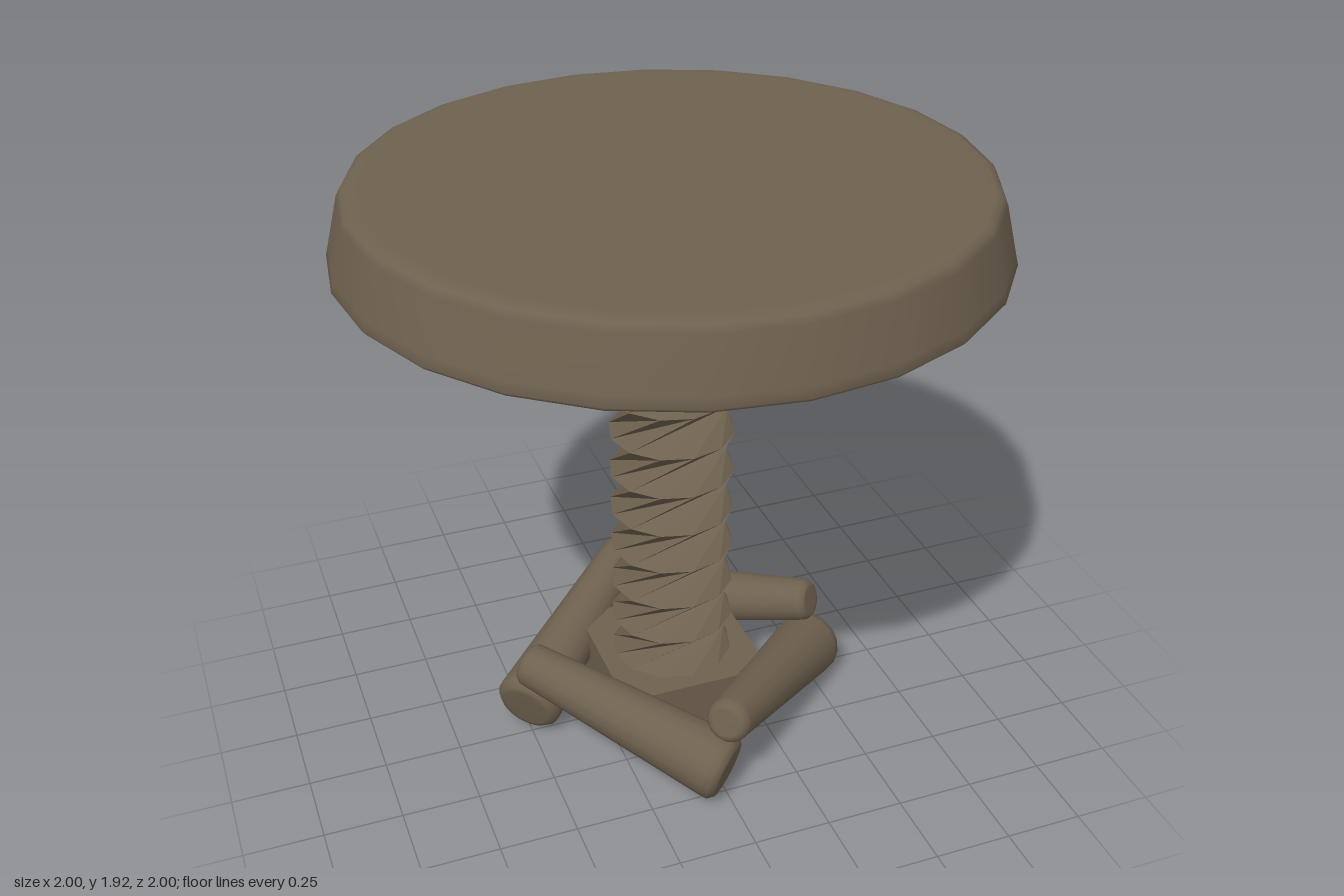
import * as THREE from 'three';

export function createModel() {
  const model = new THREE.Group();
  const wood = new THREE.MeshStandardMaterial({ color: 0x6e614f });
  wood.name = 'brown wood';
  const facetedWood = wood.clone();
  facetedWood.flatShading = true;

  const add = (name, geometry, material, parent = model) => {
    const mesh = new THREE.Mesh(geometry, material);
    mesh.name = name;
    parent.add(mesh);
    return mesh;
  };
  const lathe = (points, sides) =>
    new THREE.LatheGeometry(points.map(([r, y]) => new THREE.Vector2(r, y)), sides);

  // Round seat with softened rims
  add('seat', lathe([
    [0, 1.72], [0.97, 1.72], [0.987, 1.722], [0.998, 1.735], [0.99, 1.765],
    [0.952, 1.915], [0.94, 1.937], [0.92, 1.945], [0.89, 1.945], [0, 1.945],
  ], 24), wood);

  // Square blocks at both ends of the screw
  for (const [name, y] of [['topBlock', 1.598], ['baseBlock', 0.188]]) {
    add(name, new THREE.BoxGeometry(0.5, 0.155, 0.5), facetedWood).position.y = y;
  }

  // Screw column: stacked rings joined by twisted facets
  const sides = 12, sections = 9, twist = 2, radius = 0.2, bottom = 0.265, top = 1.521;
  const positions = [];
  const corner = (ring, i) => {
    const a = (i / sides) * Math.PI * 2;
    const y = bottom + ((top - bottom) * ring) / sections;
    positions.push(radius * Math.sin(a), y, radius * Math.cos(a));
  };
  for (let s = 0; s < sections; s++) {
    for (let i = 0; i < sides; i++) {
      corner(s, i); corner(s, i + 1); corner(s + 1, i + 1 + twist);
      corner(s, i); corner(s + 1, i + 1 + twist); corner(s + 1, i + twist);
    }
  }
  const screw = new THREE.BufferGeometry();
  screw.setAttribute('position', new THREE.Float32BufferAttribute(positions, 3));
  screw.computeVertexNormals();
  add('screwColumn', screw, facetedWood);

  // Four tapered legs, each resting over the foot of the next
  const foot = new THREE.Vector3(0.52, 0.124, 0);
  const tip = new THREE.Vector3(-0.01, 0.312, 0.51);
  const axis = tip.clone().sub(foot);
  const length = axis.length();
  const legGeometry = lathe([
    [0, 0], [0.078, 0], [0.095, 0.003], [0.112, 0.022], [0.112, 0.05],
    [0.073, length - 0.04], [0.071, length - 0.018], [0.058, length - 0.002],
    [0.045, length], [0, length],
  ], 16);
  for (let k = 0; k < 4; k++) {
    const pivot = new THREE.Group();
    pivot.name = 'legPivot' + (k + 1);
    pivot.rotation.y = (k * Math.PI) / 2;
    model.add(pivot);
    const leg = add('leg' + (k + 1), legGeometry, wood, pivot);
    leg.position.copy(foot);
    leg.quaternion.setFromUnitVectors(new THREE.Vector3(0, 1, 0), axis.clone().normalize());
  }

  return model;
}
